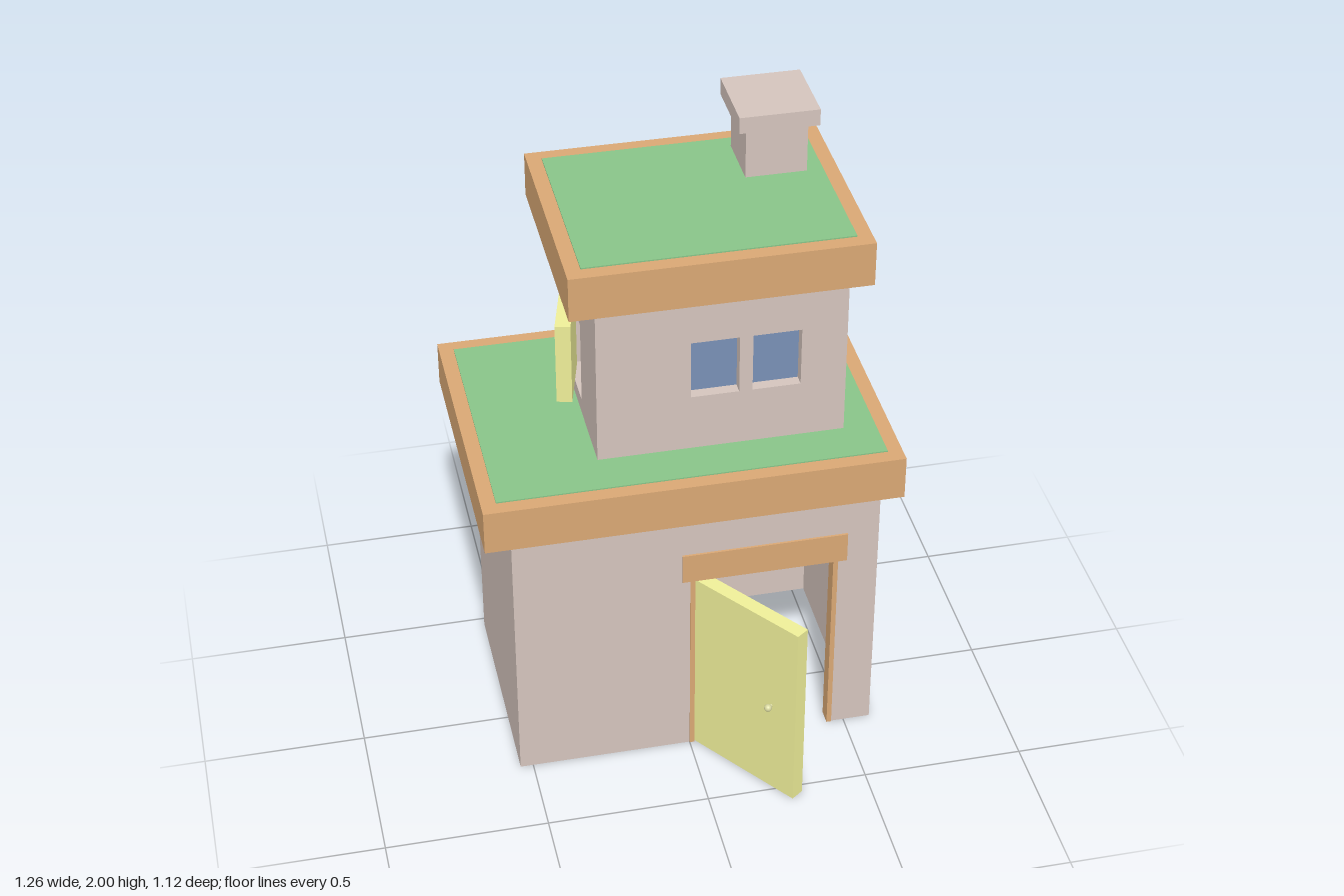
import * as THREE from 'three';

const mat = (color) => new THREE.MeshStandardMaterial({ color, flatShading: true });
const T = 0.045; // wall and panel thickness

export function createModel() {
  const model = new THREE.Group();
  const stone = mat(0xd4c4bd), wood = mat(0xd9a774), grass = mat(0x88c488);
  const paint = mat(0xeeee98), glass = mat(0x7890b5), metal = mat(0xd8d8a0);

  const add = (name, geometry, material, parent = model) => {
    const mesh = new THREE.Mesh(geometry, material);
    mesh.name = name;
    parent.add(mesh);
    return mesh;
  };
  // Box given by its lower and upper limits on each axis
  const box = (name, material, x0, x1, y0, y1, z0, z1, parent) => {
    const mesh = add(name, new THREE.BoxGeometry(x1 - x0, y1 - y0, z1 - z0), material, parent);
    mesh.position.set((x0 + x1) / 2, (y0 + y1) / 2, (z0 + z1) / 2);
    return mesh;
  };
  const rect = (Type, u0, u1, v0, v1) => new Type([
    [u0, v0], [u1, v0], [u1, v1], [u0, v1],
  ].map(([u, v]) => new THREE.Vector2(u, v)));
  const extrude = (shape, depth) =>
    new THREE.ExtrudeGeometry(shape, { depth, bevelEnabled: false });

  // Lower storey: hollow, open underneath, with a doorway cut in the front
  const lower = new THREE.Group();
  lower.name = 'lowerStorey';
  model.add(lower);
  const frontShape = new THREE.Shape([
    [-0.54, 0], [0, 0], [0, 0.655], [0.46, 0.655], [0.46, 0], [0.585, 0], [0.585, 0.94], [-0.54, 0.94],
  ].map(([x, y]) => new THREE.Vector2(x, y)));
  add('lowerFrontWall', extrude(frontShape, T), stone, lower).position.z = 0.235 - T;
  box('lowerBackWall', stone, -0.54, 0.585, 0, 0.94, -0.47, -0.47 + T, lower);
  box('lowerRightWall', stone, -0.54, -0.54 + T, 0, 0.94, -0.47 + T, 0.235 - T, lower);
  box('lowerLeftWall', stone, 0.585 - T, 0.585, 0, 0.94, -0.47 + T, 0.235 - T, lower);

  // Upper storey: two windows in front, a hatch opening in the side
  const upper = new THREE.Group();
  upper.name = 'upperStorey';
  model.add(upper);
  const windows = [[0.02, 0.165], [0.205, 0.35]];
  const upperFront = rect(THREE.Shape, -0.26, 0.487, 1.07, 1.65);
  windows.forEach(([a, b]) => upperFront.holes.push(rect(THREE.Path, a, b, 1.265, 1.455)));
  add('upperFrontWall', extrude(upperFront, T), stone, upper).position.z = 0.142 - T;
  windows.forEach(([a, b]) => box('windowPane', glass, a, b, 1.265, 1.455, 0.097, 0.107, upper));
  box('upperBackWall', stone, -0.26, 0.487, 1.07, 1.65, -0.373, -0.373 + T, upper);
  box('upperLeftWall', stone, 0.487 - T, 0.487, 1.07, 1.65, -0.373 + T, 0.142 - T, upper);
  const side = rect(THREE.Shape, -0.373 + T, 0.142 - T, 1.07, 1.65);
  side.holes.push(rect(THREE.Path, -0.3, -0.1, 1.13, 1.4));
  const sideWall = add('upperRightWall', extrude(side, T), stone, upper);
  sideWall.rotation.y = -Math.PI / 2; // shape u becomes z
  sideWall.position.x = -0.26 + T;

  // Flat roofs: a wooden slab with a rim around a grassy inset
  const roof = (name, x0, x1, y0, y1, z0, z1) => {
    const g = new THREE.Group();
    g.name = name;
    model.add(g);
    box('roofSlab', wood, x0, x1, y0, y1, z0, z1, g);
    box('roofGrass', grass, x0 + T, x1 - T, y1 - 0.02, y1 + 0.004, z0 + T, z1 - T, g);
  };
  roof('lowerRoof', -0.63, 0.63, 0.937, 1.078, -0.56, 0.325);
  roof('upperRoof', -0.35, 0.535, 1.64, 1.78, -0.468, 0.23);

  // Chimney with cap
  box('chimneyStack', stone, 0.255, 0.44, 1.77, 1.95, -0.375, -0.19);
  box('chimneyCap', stone, 0.228, 0.468, 1.948, 2, -0.403, -0.162);

  // Door frame
  box('doorLintel', wood, -0.025, 0.487, 0.655, 0.755, 0.235 - T, 0.242);
  box('doorJamb', wood, 0, 0.015, 0, 0.655, 0.235 - T, 0.238);
  box('doorJamb', wood, 0.445, 0.46, 0, 0.655, 0.235 - T, 0.238);

  // Open door: local x runs from the hinge, local z = 0 is the outer face
  const door = new THREE.Group();
  door.name = 'door';
  door.position.set(0.008, 0, 0.222);
  door.rotation.y = -Math.atan2(0.807, 0.59);
  model.add(door);
  box('doorPanel', paint, 0, 0.415, 0.002, 0.653, -T, 0, door);
  const stem = add('knobStem', new THREE.CylinderGeometry(0.005, 0.005, 0.016, 12), metal, door);
  stem.rotation.x = Math.PI / 2;
  stem.position.set(0.321, 0.33, 0.006);
  const knobMat = metal.clone();
  knobMat.flatShading = false;
  add('doorKnob', new THREE.SphereGeometry(0.012, 16, 12), knobMat, door).position.set(0.321, 0.33, 0.016);

  // Side hatch, hinged at the back and slightly ajar
  const hatch = new THREE.Group();
  hatch.name = 'hatch';
  hatch.position.set(-0.284, 0, -0.3);
  hatch.rotation.y = -Math.atan2(0.051, 0.194);
  model.add(hatch);
  box('hatchPanel', paint, 0, T + 0.002, 1.13, 1.4, 0, 0.2, hatch);

  return model;
}
